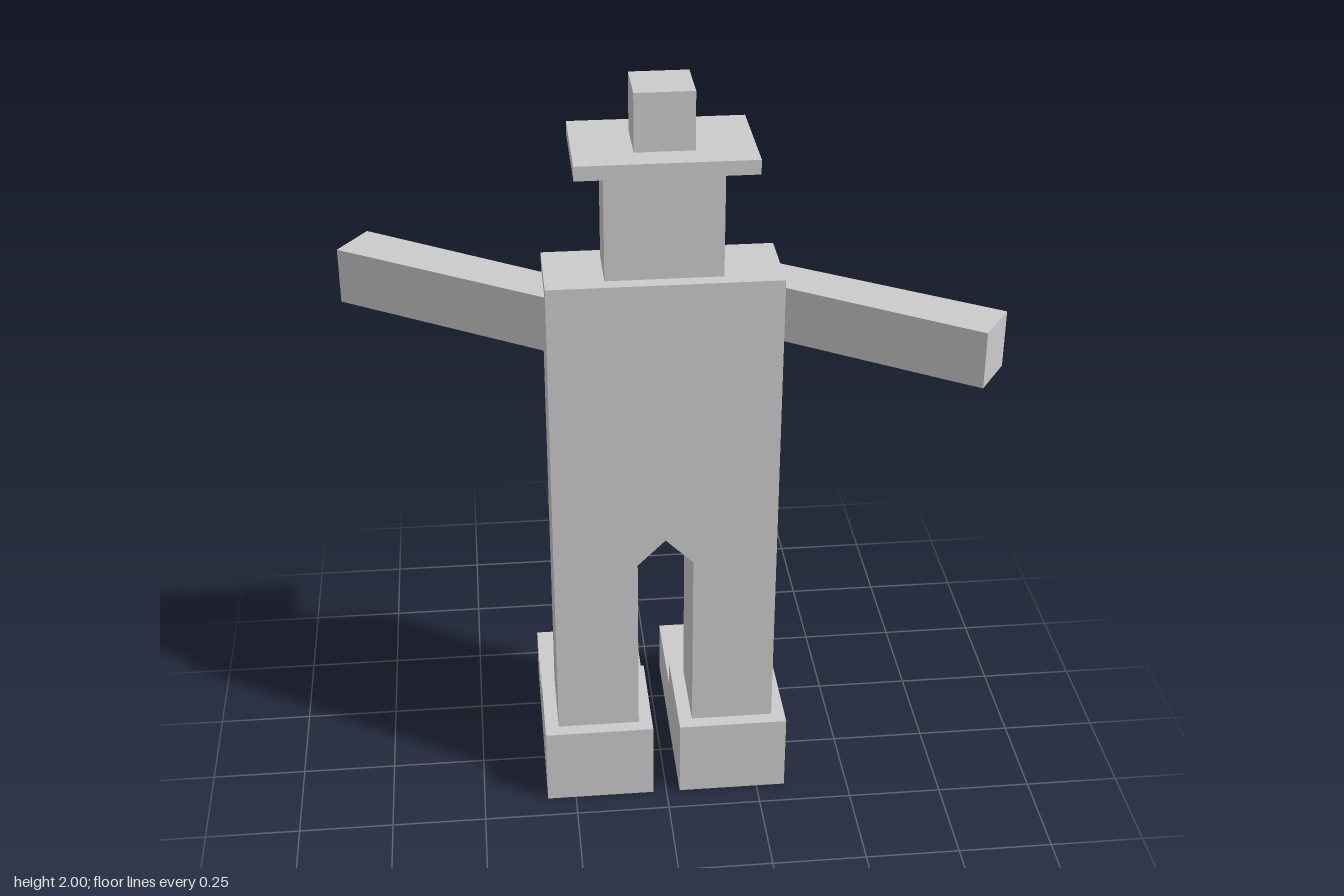
import * as THREE from 'three';

const UNIT = 2 / 55; // the figure is laid out on a grid 55 units tall

export function createModel() {
  const model = new THREE.Group();
  model.name = 'blockFigure';
  const material = new THREE.MeshStandardMaterial({ color: 0xcccccc, flatShading: true });
  const thin = new THREE.MeshStandardMaterial({ color: 0xcccccc, side: THREE.DoubleSide });

  const add = (name, geometry, x = 0, y = 0, z = 0, mat = material) => {
    const mesh = new THREE.Mesh(geometry, mat);
    mesh.name = name;
    mesh.position.set(x, y, z);
    model.add(mesh);
    return mesh;
  };
  // Prism from a 2D outline
  const prism = (points, depth) => new THREE.ExtrudeGeometry(
    new THREE.Shape(points.map(([x, y]) => new THREE.Vector2(x, y))),
    { depth, bevelEnabled: false });
  // Box standing on y0
  const block = (name, w, h, d, y0) =>
    add(name, new THREE.BoxGeometry(w, h, d), 0, y0 + h / 2, 1);

  // Torso and legs in one slab with a pointed gap between the legs
  add('bodyAndLegs', prism([
    [-8, 6], [-2, 6], [-2, 20], [0, 22], [2, 20], [2, 6], [8, 6], [8, 42], [-8, 42],
  ], 6), 0, 0, -2);

  // Head and hat
  block('head', 8, 8, 4, 42);
  block('hatBrim', 12, 1, 8, 50);
  block('hatCrown', 4, 4, 4, 51);

  // Thin eye plates just off the face, which looks towards -z
  for (const [name, x] of [['leftEye', 2], ['rightEye', -2]]) {
    add(name, new THREE.PlaneGeometry(2, 2).rotateY(Math.PI), x, 47, -2, thin);
  }

  // Slanted arms: one swings to +z, the other is turned half a circle to -z
  const arm = prism([[8, -1], [22, 8], [20, 11], [8, 3]], 4).rotateX(Math.PI / 2);
  add('leftArm', arm, 0, 41, 0);
  add('rightArm', arm, 0, 41, 2).rotation.y = Math.PI;

  // L-shaped boots with a low toe
  const boot = prism([[-5, 0], [11, 0], [11, 4], [3, 4], [3, 6], [-5, 6]], 8)
    .rotateY(Math.PI / 2);
  add('leftBoot', boot, 1);
  add('rightBoot', boot, -9);

  model.scale.setScalar(UNIT);
  return model;
}
